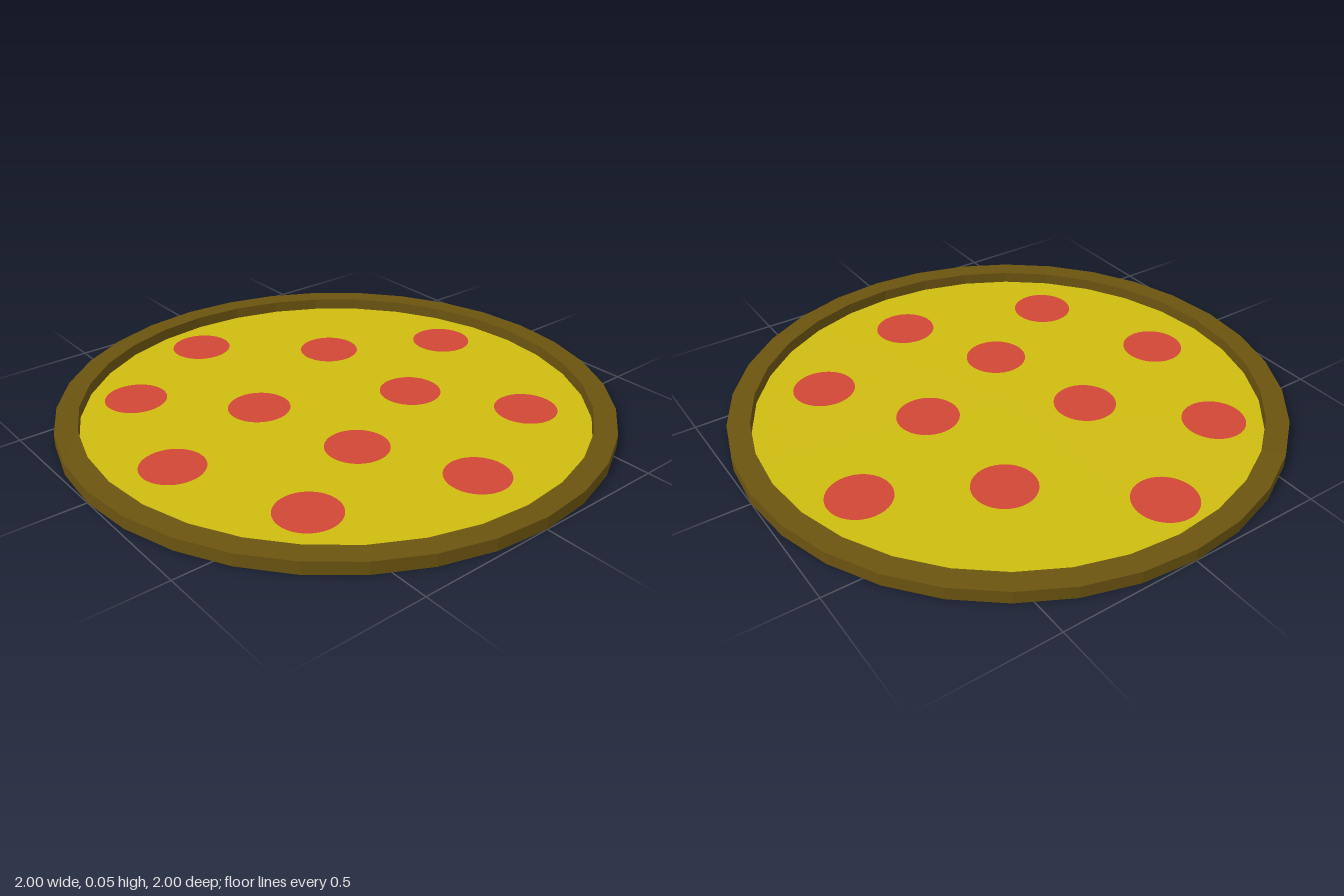
import * as THREE from 'three';

const SIDES = 32, HEIGHT = 0.046, INNER = 0.92, CHEESE_Y = 0.003;

function material(name, color) {
  const m = new THREE.MeshStandardMaterial({ color });
  m.name = name;
  return m;
}

// Flat horizontal disc, facing up or down
function disc(radius, sides, y, mat, name, down = false) {
  const geo = new THREE.CircleGeometry(radius, sides);
  geo.rotateX(down ? Math.PI / 2 : -Math.PI / 2);
  const mesh = new THREE.Mesh(geo, mat);
  mesh.position.y = y;
  mesh.name = name;
  return mesh;
}

export function createModel() {
  const pizza = new THREE.Group();
  pizza.name = 'pizza';
  const crustMat = material('crustBrown', 0x6b5410);
  const cheeseMat = material('cheeseYellow', 0xcdbc10);
  const pepperoniMat = material('pepperoniRed', 0xd04735);

  // Crust ring: outer wall, flat top and inner wall, faceted
  const profile = [[1, 0], [1, HEIGHT], [INNER, HEIGHT], [INNER, 0]]
    .map(([r, y]) => new THREE.Vector2(r, y));
  const rimGeo = new THREE.LatheGeometry(profile, SIDES).toNonIndexed();
  rimGeo.computeVertexNormals();
  const rim = new THREE.Mesh(rimGeo, crustMat);
  rim.name = 'crustRim';
  pizza.add(rim);

  // Underside and cheese floor
  pizza.add(disc(1, SIDES, 0, crustMat, 'crustBase', true));
  pizza.add(disc(INNER, SIDES, CHEESE_Y, cheeseMat, 'cheese'));

  // Pepperoni slices, placed by x and z
  const slices = [
    [-0.107, -0.74], [-0.54, -0.51], [0.283, -0.393], [0.70, -0.17],
    [-0.226, -0.166], [-0.686, -0.01], [0.289, 0.086], [-0.131, 0.275],
    [-0.503, 0.481], [0.519, 0.455], [0.053, 0.663],
  ];
  const toppings = new THREE.Group();
  toppings.name = 'pepperoniSlices';
  for (const [x, z] of slices) {
    const slice = disc(0.114, 40, CHEESE_Y + 0.003, pepperoniMat, 'pepperoni');
    slice.position.x = x;
    slice.position.z = z;
    toppings.add(slice);
  }
  pizza.add(toppings);

  return pizza;
}
